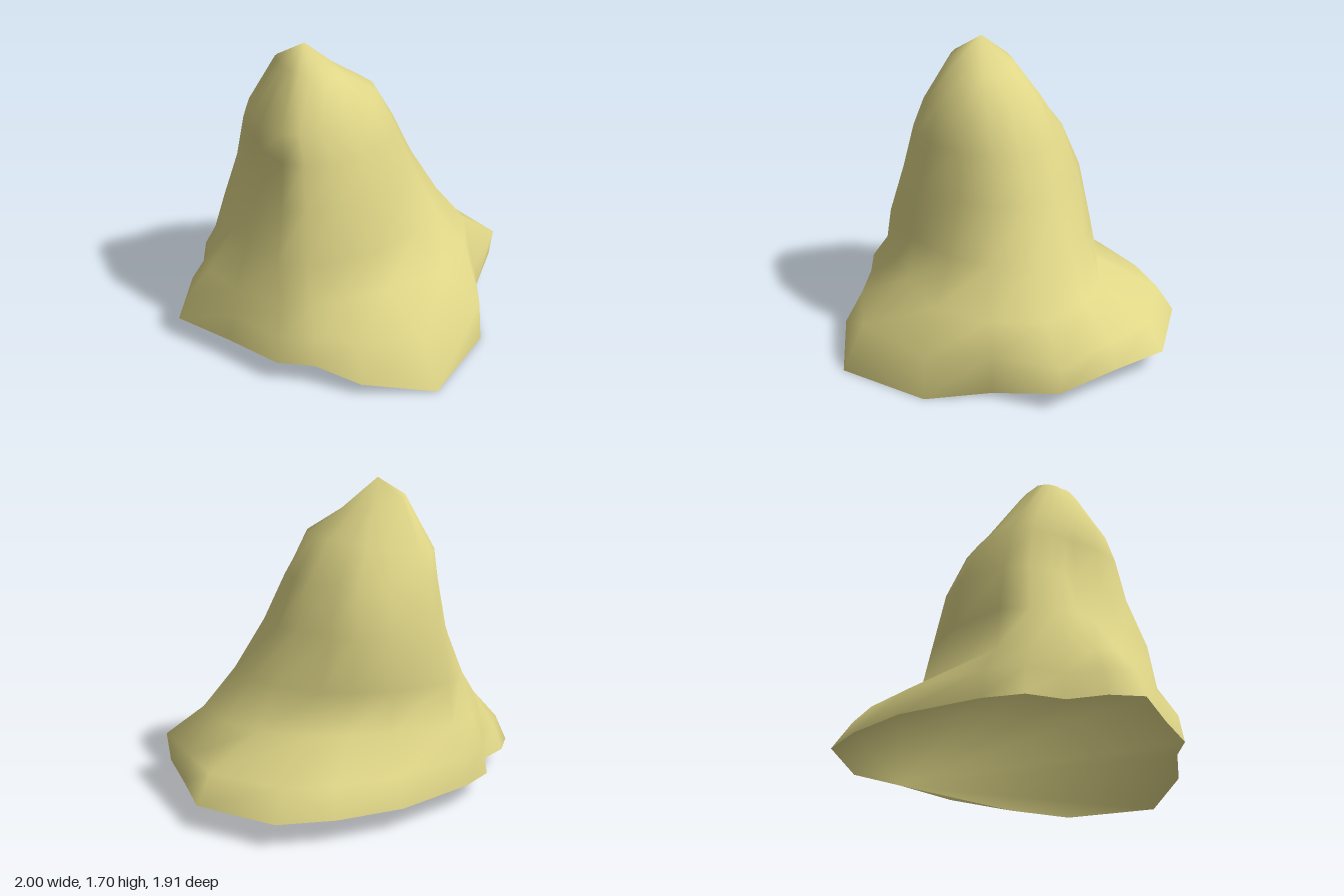
import * as THREE from 'three';

// Outline of the foot: directions (degrees from +x toward +z) and radii
const ANGLES = [2, 23, 47, 80, 105, 123, 138, 162, 182, 192, 203, 216, 230, 260, 282, 298, 323, 340];
const RIM = [0.98, 0.78, 0.88, 0.97, 0.85, 0.77, 0.81, 0.83, 1, 0.94, 0.83, 0.89, 0.87, 0.9, 0.98, 1.08, 1.09, 0.98];

// Top of the skirt as a share of the rim radius, every 45 degrees
const SKIRT = [1.02, 0.98, 0.83, 0.97, 0.93, 0.98, 0.93, 0.89];

// Body cross-sections: height, centre x and z, slope along x, radii every 45 degrees
const BODY = [
  { y: 0.42, x: -0.05, z: 0, slope: 0, r: [0.84, 0.69, 0.5, 0.64, 0.75, 0.74, 0.57, 0.7] },
  { y: 0.65, x: -0.07, z: -0.03, slope: 0, r: [0.68, 0.55, 0.5, 0.62, 0.56, 0.66, 0.56, 0.6] },
  { y: 0.93, x: -0.08, z: -0.05, slope: 0, r: [0.52, 0.46, 0.48, 0.53, 0.41, 0.56, 0.54, 0.46] },
  { y: 1.18, x: -0.1, z: -0.05, slope: 0, r: [0.42, 0.4, 0.4, 0.46, 0.38, 0.48, 0.42, 0.41] },
  { y: 1.36, x: -0.14, z: -0.05, slope: 0.14, r: [0.33, 0.35, 0.33, 0.38, 0.37, 0.38, 0.27, 0.31] },
  { y: 1.57, x: -0.19, z: -0.04, slope: -0.25, r: [0.19, 0.19, 0.19, 0.17, 0.15, 0.18, 0.16, 0.2] },
];

// Value in any direction from a list given every 45 degrees
function around(list, deg) {
  const k = Math.floor(deg / 45);
  return THREE.MathUtils.lerp(list[k], list[(k + 1) % list.length], deg / 45 - k);
}

// The foot dips to the ground at the front left
const sagAt = (a) => 0.12 * THREE.MathUtils.smoothstep(Math.cos(a - 1.01), 0.45, 0.95);

function rockGeometry() {
  const n = ANGLES.length;
  const positions = [];

  const addRing = (x, z, radius, height) => ANGLES.forEach((deg, j) => {
    const a = THREE.MathUtils.degToRad(deg);
    const r = radius(j, deg);
    positions.push(x + r * Math.cos(a), height(a, r), z + r * Math.sin(a));
  });

  // Rim and skirt
  addRing(0, 0, (j) => RIM[j], (a) => 0.12 - sagAt(a));
  addRing(0, 0, (j, deg) => RIM[j] * around(SKIRT, deg), (a) => 0.27 - 0.2 * sagAt(a));
  // Body
  for (const { y, x, z, slope, r } of BODY) {
    addRing(x, z, (j, deg) => around(r, deg), (a, radius) => y + slope * radius * Math.cos(a));
  }
  positions.push(-0.2, 1.7, -0.04); // peak

  const index = [];
  const peak = positions.length / 3 - 1;
  const last = peak / n - 1;
  const at = (i, j) => i * n + (j % n);
  for (let j = 0; j < n; j++) {
    for (let i = 0; i < last; i++) {
      const a = at(i, j), b = at(i, j + 1), c = at(i + 1, j), d = at(i + 1, j + 1);
      index.push(a, c, b, b, c, d);
    }
    index.push(at(last, j), peak, at(last, j + 1));
  }

  const geometry = new THREE.BufferGeometry();
  geometry.setAttribute('position', new THREE.Float32BufferAttribute(positions, 3));
  geometry.setIndex(index);
  geometry.computeVertexNormals();

  // Underside: a fan across the rim that keeps the rim's normals
  for (let j = 0; j < n - 2; j++) index.push(n - 1, j, j + 1);
  geometry.setIndex(index);
  return geometry;
}

export function createModel() {
  const model = new THREE.Group();
  model.name = 'rockFormation';
  const rock = new THREE.Mesh(rockGeometry(), new THREE.MeshStandardMaterial({ color: 0xdfd687 }));
  rock.name = 'rock';
  model.add(rock);
  return model;
}
